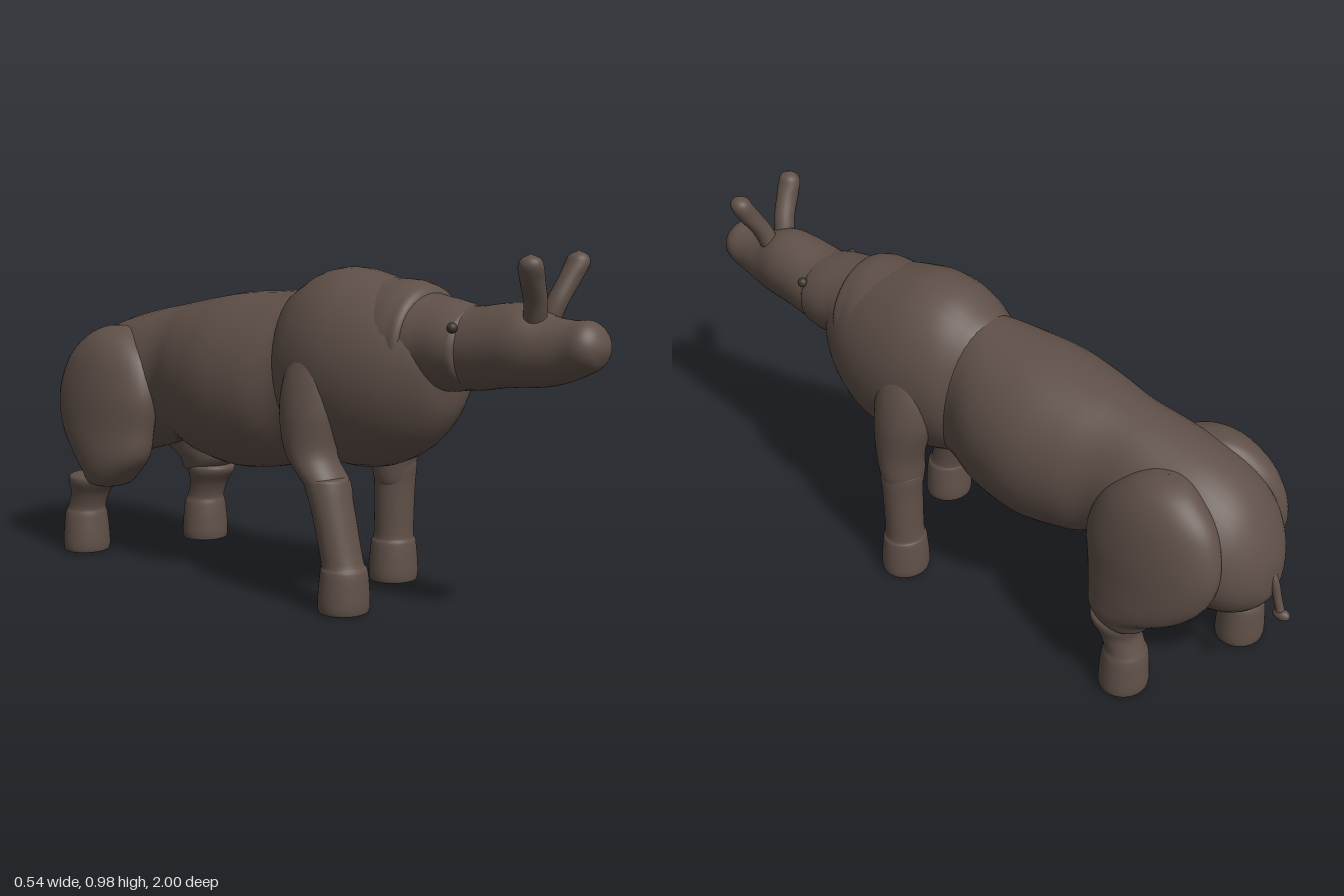
import * as THREE from 'three';

const hide = new THREE.MeshStandardMaterial({ color: 0x5f5048 });
hide.name = 'brown hide';
const eyeMat = new THREE.MeshStandardMaterial({ color: 0x3f352f });
eyeMat.name = 'dark eye';

// Smooth closed skin over elliptical rings; each section is [x, y, z, r1, r2].
// 'z' rings stand in the xy plane (listed back to front),
// 'y' rings lie in the xz plane (listed bottom to top).
function loft(name, axis, sections, sides = 40, steps = 5) {
  const centres = new THREE.CatmullRomCurve3(sections.map(s => new THREE.Vector3(s[0], s[1], s[2])), false, 'catmullrom', 0.5);
  const radii = new THREE.CatmullRomCurve3(sections.map(s => new THREE.Vector3(s[3], s[4], 0)), false, 'catmullrom', 0.5);
  const rows = (sections.length - 1) * steps;
  const pos = [], idx = [];
  for (let i = 0; i <= rows; i++) {
    const c = centres.getPoint(i / rows), r = radii.getPoint(i / rows);
    const r1 = Math.max(r.x, 0.0005), r2 = Math.max(r.y, 0.0005);
    for (let j = 0; j < sides; j++) {
      const a = j / sides * Math.PI * 2;
      const u = Math.cos(a) * r1, v = Math.sin(a) * r2;
      if (axis === 'z') pos.push(c.x + u, c.y + v, c.z);
      else pos.push(c.x + u, Math.max(0, c.y), c.z - v);
      if (i < rows) {
        const k = (j + 1) % sides, p = i * sides, q = p + sides;
        idx.push(p + j, p + k, q + j, p + k, q + k, q + j);
      }
    }
  }
  const g = new THREE.BufferGeometry();
  g.setAttribute('position', new THREE.Float32BufferAttribute(pos, 3));
  g.setIndex(idx);
  g.computeVertexNormals();
  const m = new THREE.Mesh(g, hide);
  m.name = name;
  return m;
}

// Body section from its z, top, bottom and half width
const body = (name, list) => loft(name, 'z',
  list.map(([z, top, bottom, w]) => [0, (top + bottom) / 2, z, w, (top - bottom) / 2]));

// Tapered foot standing at (x, z), rising into a shin whose top is at zTop
function shin(name, x, z, yTop, zTop, r) {
  const at = t => z + (zTop - z) * t;
  return loft(name, 'y', [
    [x, 0, z, 0, 0], [x, 0, z, 0.06, 0.056], [x, 0.012, z, 0.073, 0.068],
    [x, 0.06, z, 0.072, 0.068], [x, 0.115, z, 0.066, 0.063],
    [x, 0.14, at(0.1), 0.059, 0.056], [x, yTop * 0.75, at(0.6), 0.062, 0.056],
    [x, yTop - 0.02, at(0.95), r, r], [x, yTop, zTop, r * 0.85, r * 0.85], [x, yTop + 0.01, zTop, 0, 0]]);
}

export function createModel() {
  const model = new THREE.Group();
  model.name = 'hornedBeast';

  // Trunk: rump and belly, then the humped shoulders
  model.add(body('belly', [
    [-0.945, 0.42, 0.40, 0], [-0.935, 0.49, 0.35, 0.06], [-0.90, 0.57, 0.31, 0.12],
    [-0.84, 0.645, 0.285, 0.165], [-0.74, 0.705, 0.285, 0.19], [-0.6, 0.745, 0.32, 0.185],
    [-0.47, 0.772, 0.355, 0.175], [-0.36, 0.795, 0.325, 0.207], [-0.22, 0.82, 0.308, 0.23],
    [-0.08, 0.832, 0.325, 0.212], [0.02, 0.84, 0.355, 0.17], [0.1, 0.83, 0.40, 0.14], [0.16, 0.7, 0.5, 0]]));
  model.add(body('shoulders', [
    [-0.06, 0.75, 0.5, 0], [-0.02, 0.825, 0.45, 0.12], [0.04, 0.865, 0.405, 0.175],
    [0.11, 0.90, 0.378, 0.2], [0.2, 0.912, 0.365, 0.213], [0.3, 0.895, 0.372, 0.208],
    [0.39, 0.87, 0.405, 0.188], [0.46, 0.845, 0.455, 0.157], [0.51, 0.815, 0.525, 0.12],
    [0.53, 0.78, 0.6, 0.075], [0.535, 0.7, 0.68, 0]]));

  // Stepped neck folds and head
  model.add(body('neckBase', [
    [0.2, 0.8, 0.55, 0], [0.26, 0.88, 0.5, 0.14], [0.36, 0.889, 0.5, 0.165],
    [0.42, 0.884, 0.53, 0.158], [0.46, 0.862, 0.57, 0.137], [0.475, 0.8, 0.64, 0]]));
  model.add(body('neck', [
    [0.36, 0.8, 0.65, 0], [0.42, 0.855, 0.6, 0.13], [0.5, 0.85, 0.6, 0.131],
    [0.58, 0.835, 0.608, 0.126], [0.615, 0.815, 0.63, 0.105], [0.625, 0.74, 0.72, 0]]));
  model.add(body('head', [
    [0.48, 0.8, 0.65, 0], [0.54, 0.83, 0.612, 0.1], [0.62, 0.832, 0.612, 0.108],
    [0.7, 0.845, 0.626, 0.103], [0.77, 0.848, 0.633, 0.096], [0.84, 0.822, 0.643, 0.08],
    [0.9, 0.815, 0.66, 0.07], [0.95, 0.817, 0.682, 0.069], [0.98, 0.798, 0.7, 0.053],
    [0.996, 0.77, 0.73, 0.025], [1.0, 0.752, 0.748, 0]]));

  for (const s of [1, -1]) {
    const side = s > 0 ? 'left' : 'right';

    // Blunt horns
    model.add(loft(side + 'Horn', 'y', [
      [s * 0.025, 0.78, 0.8, 0.028, 0.03], [s * 0.045, 0.85, 0.82, 0.031, 0.03],
      [s * 0.08, 0.91, 0.835, 0.035, 0.03], [s * 0.098, 0.945, 0.842, 0.032, 0.033],
      [s * 0.101, 0.967, 0.844, 0.023, 0.025], [s * 0.102, 0.979, 0.844, 0, 0]], 24));

    // Eyes
    const eye = new THREE.Mesh(new THREE.SphereGeometry(0.014, 16, 12), eyeMat);
    eye.name = side + 'Eye';
    eye.position.set(s * 0.106, 0.782, 0.607);
    model.add(eye);

    // Front legs: the left one upright, the right one stepping forward
    const zf = s > 0 ? 0.175 : 0.31, ze = s > 0 ? 0.18 : 0.245;
    model.add(loft(side + 'UpperFrontLeg', 'y', [
      [s * 0.175, 0.27, ze + (s < 0 ? 0.02 : 0), 0, 0], [s * 0.175, 0.28, ze + (s < 0 ? 0.02 : 0), 0.05, 0.045],
      [s * 0.176, 0.34, ze, 0.068, 0.06], [s * 0.177, 0.42, 0.185, 0.07, 0.072],
      [s * 0.172, 0.53, 0.175, 0.074, 0.09], [s * 0.16, 0.63, 0.175, 0.064, 0.085],
      [s * 0.14, 0.71, 0.18, 0.04, 0.05], [s * 0.12, 0.74, 0.18, 0, 0]]));
    model.add(shin(side + 'FrontShin', s * 0.182, zf, 0.36, ze, 0.062));

    // Hind legs: round thigh over a bent shin
    const zk = s > 0 ? -0.605 : -0.64;
    model.add(loft(side + 'Thigh', 'y', [
      [s * 0.18, 0.215, zk - 0.01, 0, 0], [s * 0.182, 0.225, zk - 0.01, 0.06, 0.06],
      [s * 0.184, 0.265, zk, 0.08, 0.1], [s * 0.18, 0.32, -0.645, 0.09, 0.15],
      [s * 0.172, 0.4, -0.668, 0.094, 0.186], [s * 0.165, 0.5, -0.67, 0.092, 0.2],
      [s * 0.15, 0.6, -0.67, 0.085, 0.168], [s * 0.135, 0.665, -0.67, 0.065, 0.105],
      [s * 0.12, 0.694, -0.67, 0.035, 0.05], [s * 0.115, 0.7, -0.67, 0, 0]]));
    model.add(shin(side + 'HindShin', s * 0.185, s > 0 ? -0.617 : -0.76, 0.245, s > 0 ? -0.585 : -0.725, 0.074));
  }

  // Thin tail with a small tuft
  const tailPath = new THREE.CatmullRomCurve3([[0.47, -0.9], [0.42, -0.94], [0.36, -0.958], [0.318, -0.972]]
    .map(([y, z]) => new THREE.Vector3(0, y, z)));
  const tail = new THREE.Mesh(new THREE.TubeGeometry(tailPath, 20, 0.012, 12), hide);
  tail.name = 'tail';
  const tuft = new THREE.Mesh(new THREE.SphereGeometry(0.018, 16, 12), hide);
  tuft.name = 'tailTuft';
  tuft.scale.set(0.9, 0.9, 1.4);
  tuft.position.set(0, 0.315, -0.974);
  model.add(tail, tuft);
  return model;
}
